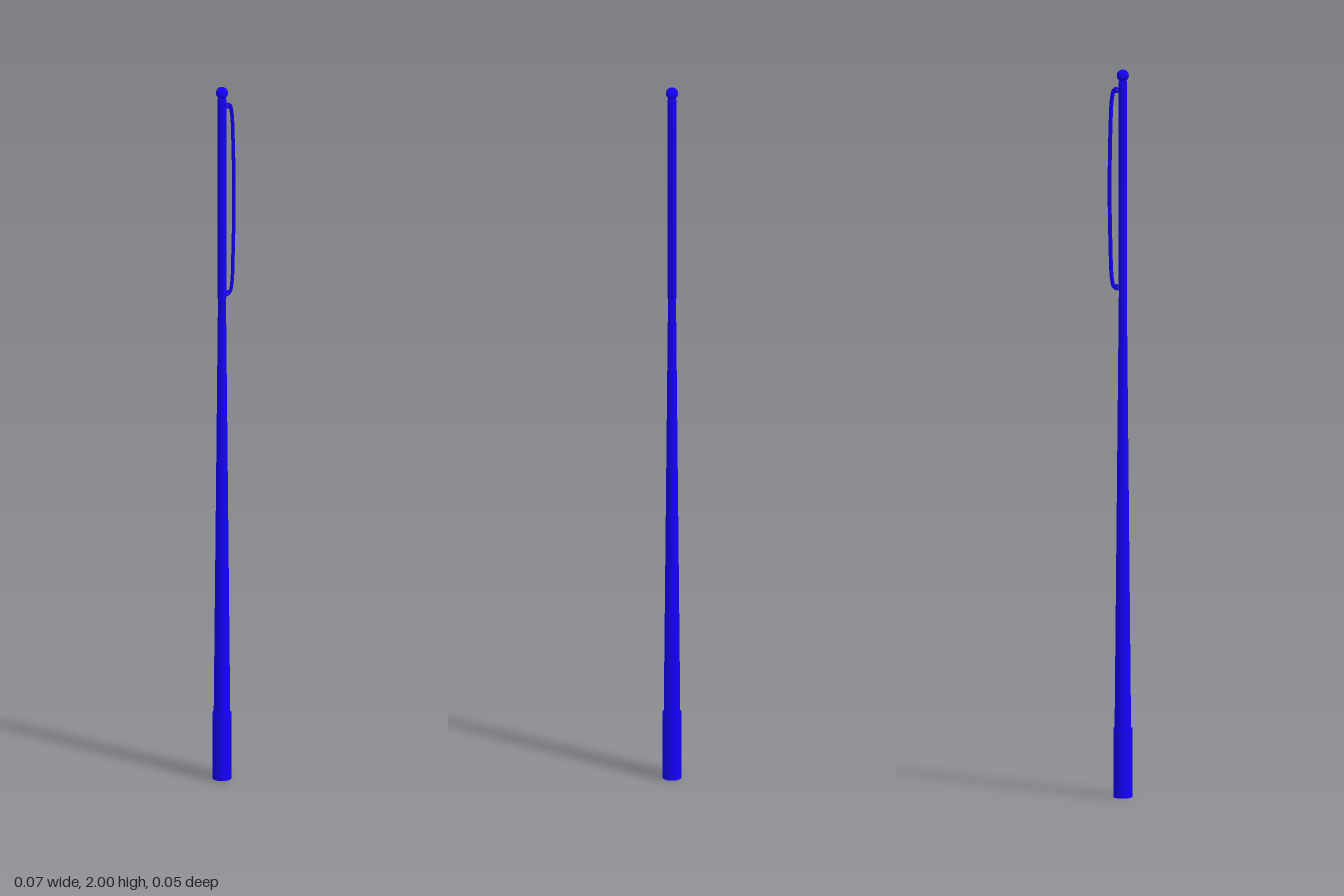
import * as THREE from 'three';

const POLE_X = -0.012;

export function createModel() {
  const model = new THREE.Group();
  model.name = 'flagpole';
  const material = new THREE.MeshStandardMaterial({ color: 0x1400ff });

  const add = (name, geometry, x, y) => {
    const mesh = new THREE.Mesh(geometry, material);
    mesh.name = name;
    mesh.position.set(x, y, 0);
    model.add(mesh);
    return mesh;
  };
  const rod = (name, rTop, rBottom, y0, y1) =>
    add(name, new THREE.CylinderGeometry(rTop, rBottom, y1 - y0, 32), POLE_X, (y0 + y1) / 2);

  // Base sleeve, tapering shaft and slim upper section
  rod('baseSleeve', 0.026, 0.026, 0, 0.19);
  rod('shaft', 0.0108, 0.0225, 0.19, 1.4);
  rod('upperShaft', 0.012, 0.012, 1.39, 1.965);
  rod('neck', 0.008, 0.012, 1.965, 1.975);

  // Ball finial
  add('finial', new THREE.SphereGeometry(0.0165, 32, 20), POLE_X, 1.9835);

  // Eyelets that hold the halyard
  for (const [name, y] of [['upperEyelet', 1.942], ['lowerEyelet', 1.4]]) {
    add(name, new THREE.TorusGeometry(0.006, 0.0025, 8, 20), 0.008, y);
  }

  // Bowed halyard with a four-sided section
  const points = [
    [0.004, 1.944], [0.014, 1.943], [0.021, 1.92], [0.026, 1.83], [0.0285, 1.67],
    [0.026, 1.52], [0.021, 1.42], [0.014, 1.399], [0.004, 1.398],
  ].map(([x, y]) => new THREE.Vector3(x, y, 0));
  const path = new THREE.CatmullRomCurve3(points, false, 'centripetal');
  add('halyard', new THREE.TubeGeometry(path, 80, 0.006, 4, false), 0, 0);

  return model;
}
